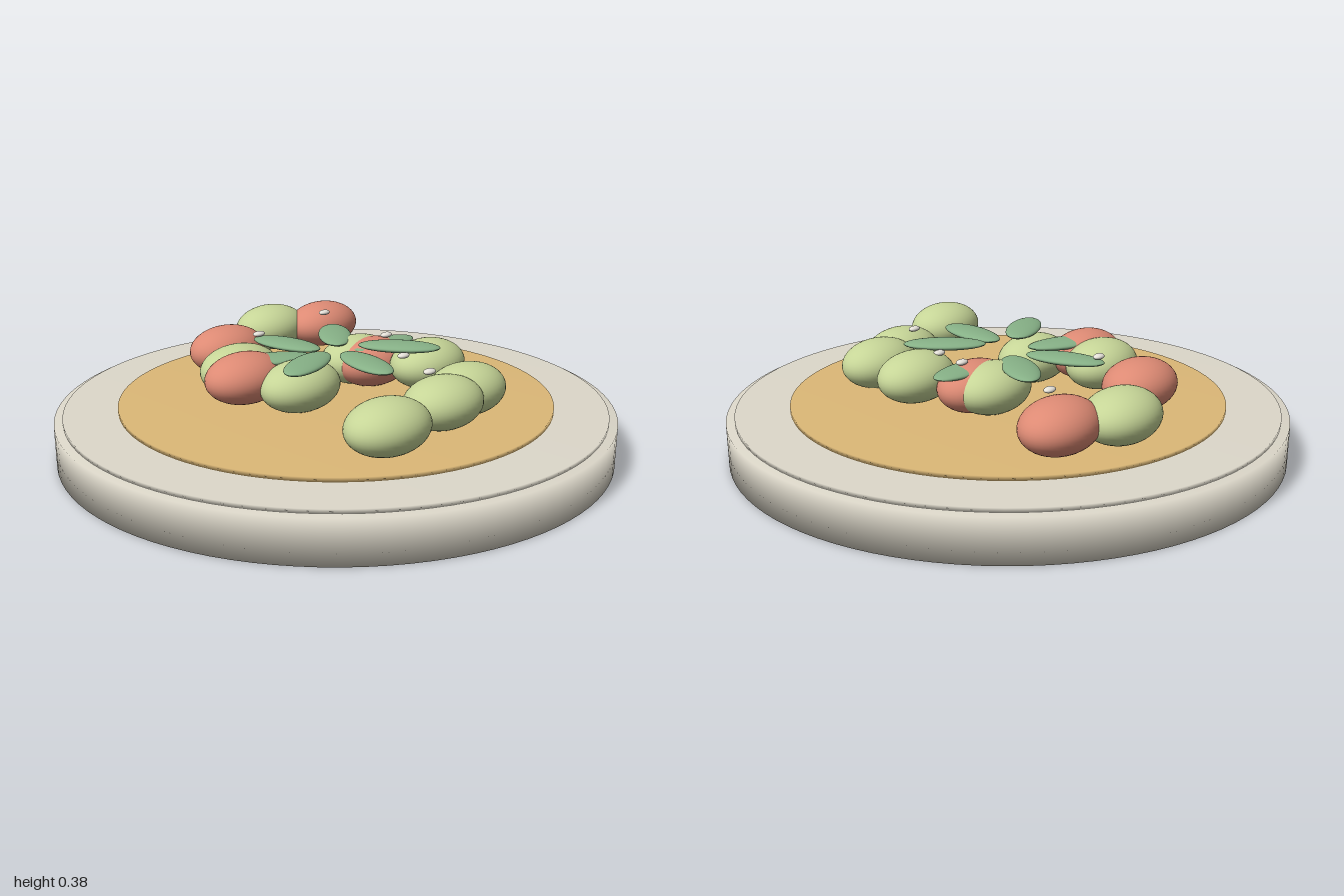
import * as THREE from 'three';

const mat = (name, color) => {
  const m = new THREE.MeshStandardMaterial({ color });
  m.name = name;
  return m;
};

export function createModel() {
  const model = new THREE.Group();
  model.name = 'saladPlate';

  const stone = mat('warm off-white', 0xddd8ca);
  const sauce = mat('golden tan', 0xdcb877);
  const green = mat('pale green', 0xc6d597);
  const red = mat('coral red', 0xdd8a74);
  const leafGreen = mat('leaf green', 0x86b086);
  const white = mat('crumb white', 0xe6e2da);

  // Solid disc with a softly shaded rim
  const disc = (name, r, y0, y1, material) => {
    const profile = [[0, y0], [r, y0], [r, y1], [0, y1]].map(p => new THREE.Vector2(...p));
    const mesh = new THREE.Mesh(new THREE.LatheGeometry(profile, 96), material);
    mesh.name = name;
    model.add(mesh);
  };
  disc('plateBase', 1, 0, 0.15, stone);
  disc('plateTop', 0.97, 0.15, 0.165, stone);
  disc('sauce', 0.78, 0.165, 0.18, sauce);

  // Flattened spheres make all of the toppings
  const ball = new THREE.SphereGeometry(1, 40, 24);
  const blob = (name, material, pos, size, turn = 0) => {
    const mesh = new THREE.Mesh(ball, material);
    mesh.name = name;
    mesh.position.set(...pos);
    mesh.scale.set(...size);
    mesh.rotation.y = turn;
    model.add(mesh);
  };

  // Fruit slices
  const slice = [0.155, 0.09, 0.12];
  [
    [0.19, 0.28, -0.605], [-0.255, 0.275, -0.235], [-0.195, 0.262, 0.03],
    [0.18, 0.262, -0.075], [0.29, 0.28, 0.18], [0.21, 0.262, 0.44],
    [0.04, 0.262, 0.485], [-0.295, 0.28, 0.56],
  ].forEach(p => blob('greenSlice', green, p, slice));
  [
    [-0.13, 0.275, -0.475], [0.385, 0.28, -0.505],
    [-0.315, 0.28, -0.125], [0.2, 0.262, -0.015],
  ].forEach(p => blob('redSlice', red, p, slice));

  // Ring of seven leaves pointing outward
  [0.325, 0.367, 0.356, 0.36, 0.335, 0.335, 0.34].forEach((y, i) => {
    const a = (i / 7) * Math.PI * 2;
    blob('leaf', leafGreen, [0.24 * Math.cos(a), y, 0.218 * Math.sin(a)], [0.147, 0.018, 0.062], -a);
  });

  // Small crumbs scattered on top
  [[0.31, -0.41], [-0.09, -0.33], [0.255, 0], [0.22, 0.135], [0.105, 0.235], [0.035, 0.425]]
    .forEach(([x, z]) => blob('crumb', white, [x, 0.356, z], [0.025, 0.01, 0.017]));

  return model;
}
